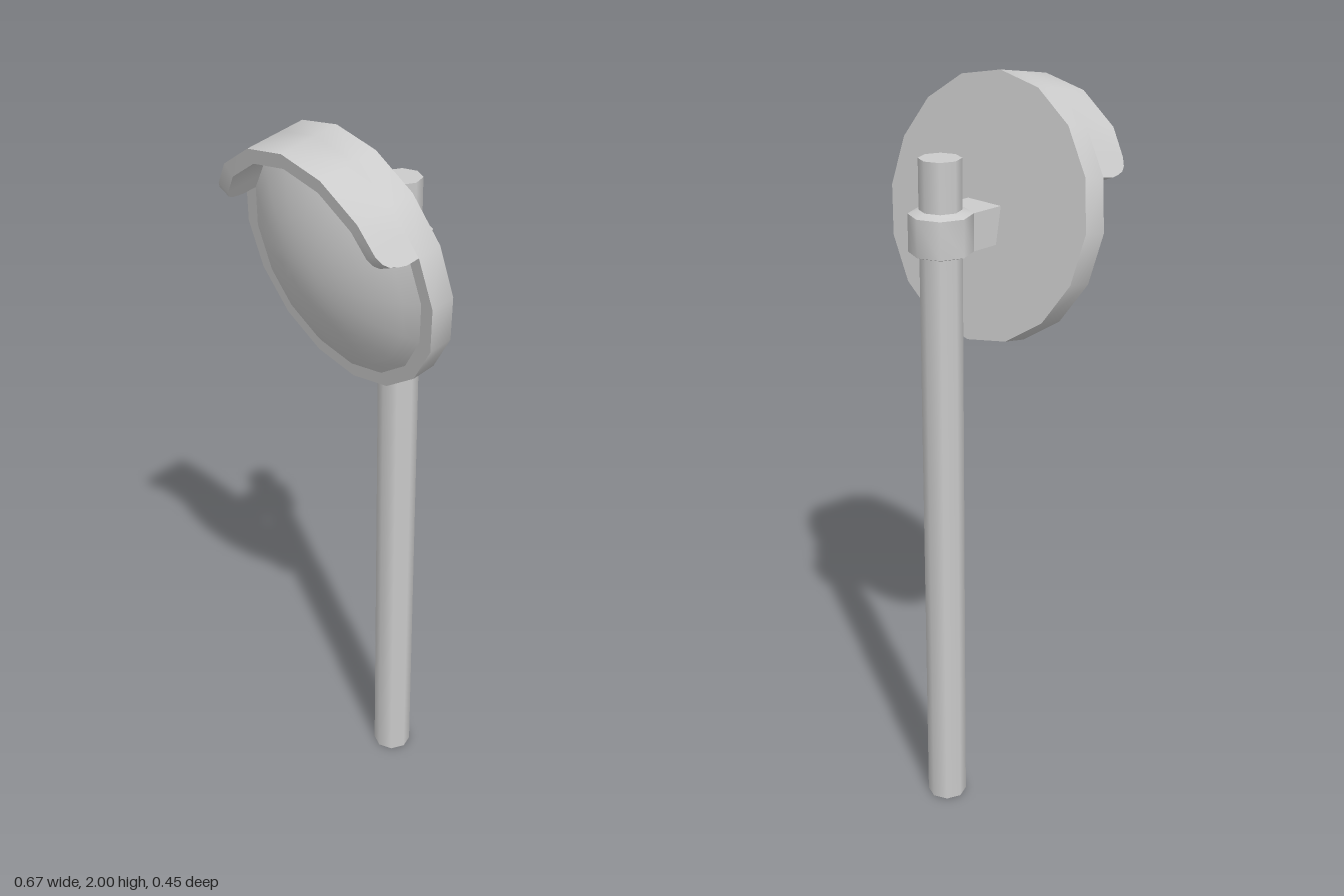
import * as THREE from 'three';
import { toCreasedNormals } from 'three/addons/utils/BufferGeometryUtils.js';

const material = new THREE.MeshStandardMaterial({ color: 0xcccccc });
const SIDES = 16;
const R = 0.335; // rim radius
const INNER = 0.298; // mirror edge and visor inside
const RIM = 0.066; // rim depth
const POLE_Z = -0.145;

function addMesh(parent, name, geometry, x = 0, y = 0, z = 0) {
  const mesh = new THREE.Mesh(geometry, material);
  mesh.name = name;
  mesh.position.set(x, y, z);
  parent.add(mesh);
  return mesh;
}

// Lathe from [radius, height] pairs, bottom to top
function lathe(profile, sides, crease = 0.9) {
  const points = profile.map(([r, h]) => new THREE.Vector2(r, h));
  return toCreasedNormals(new THREE.LatheGeometry(points, sides), crease);
}

// Curved hood over the upper rim, with rounded front corners
function visorGeometry() {
  const step = (Math.PI * 2) / SIDES;
  // [position along the rim in sides, front depth]
  const half = [[1, 0.102], [1.05, 0.125], [1.12, 0.145], [1.22, 0.157], [1.4, 0.165], [2, 0.167], [3, 0.167]];
  const stations = [...half, [4, 0.167], ...half.map(([t, d]) => [8 - t, d]).reverse()];

  const onPolygon = (t, r, z) => {
    const i = Math.floor(t);
    const a = new THREE.Vector3(Math.cos(i * step) * r, Math.sin(i * step) * r, z);
    const b = new THREE.Vector3(Math.cos((i + 1) * step) * r, Math.sin((i + 1) * step) * r, z);
    return a.lerp(b, t - i);
  };
  const rings = stations.map(([t, d]) => [
    onPolygon(t, R, RIM), onPolygon(t, R, d), onPolygon(t, INNER, d), onPolygon(t, INNER, RIM),
  ]);

  const corners = [];
  const quad = (a, b, c, d) => corners.push(a, b, c, a, c, d);
  for (let i = 0; i < rings.length - 1; i++) {
    const a = rings[i], b = rings[i + 1];
    for (let k = 0; k < 3; k++) quad(a[k], b[k], b[k + 1], a[k + 1]);
  }
  quad(...rings[0]);
  quad(...rings[rings.length - 1].slice().reverse());
  return toCreasedNormals(new THREE.BufferGeometry().setFromPoints(corners), 0.9);
}

export function createModel() {
  const model = new THREE.Group();
  model.name = 'roadMirror';

  // Pole with clamp and arm
  addMesh(model, 'pole', new THREE.CylinderGeometry(0.053, 0.053, 1.82, 8), 0, 0.91, POLE_Z);
  const clamp = [[0.05, 1.58], [0.08, 1.59], [0.08, 1.685], [0.05, 1.696]];
  addMesh(model, 'clamp', lathe(clamp, 8), 0, 0, POLE_Z);
  addMesh(model, 'arm', new THREE.BoxGeometry(0.113, 0.095, 0.12), 0, 1.6375, -0.04);

  // Mirror head, tilted down
  const head = new THREE.Group();
  head.name = 'mirrorHead';
  head.position.set(0, 1.67, 0.0025);
  head.rotation.x = THREE.MathUtils.degToRad(9.9);
  model.add(head);

  const rim = [[0, 0], [R, 0], [R, RIM], [INNER - 0.02, RIM]];
  addMesh(head, 'rim', lathe(rim, SIDES).rotateX(Math.PI / 2));

  // Shallow convex mirror
  const rise = 0.087;
  const sphere = (INNER * INNER + rise * rise) / (2 * rise);
  const dome = [];
  for (let i = 0; i <= 8; i++) {
    const r = INNER * (1 - i / 8);
    dome.push([r, RIM + rise - sphere + Math.sqrt(sphere * sphere - r * r)]);
  }
  addMesh(head, 'mirror', lathe(dome, SIDES).rotateX(Math.PI / 2));

  addMesh(head, 'visor', visorGeometry());
  return model;
}
